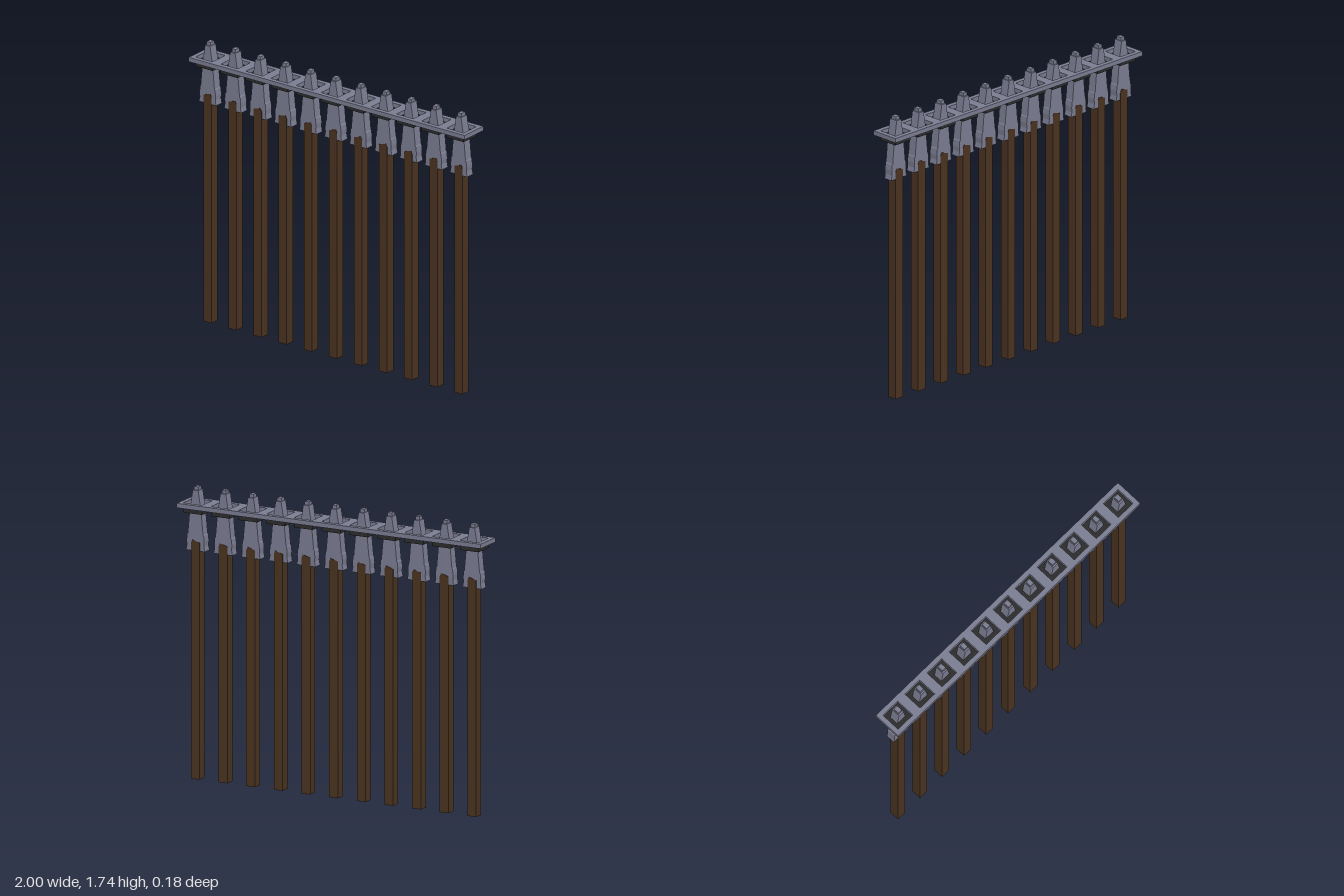
import * as THREE from 'three';

const steel = new THREE.MeshStandardMaterial({ color: 0x7b7d92 });
steel.name = 'steel';
const wood = new THREE.MeshStandardMaterial({ color: 0x4a3320 });
wood.name = 'wood';
const iron = new THREE.MeshStandardMaterial({ color: 0x2c2c2c });
iron.name = 'dark iron';

const COUNT = 11, SPACING = 0.182;
const spearX = (i) => (i - (COUNT - 1) / 2) * SPACING;

// Extrude a front outline symmetrically in z
function slab(points, depth) {
  const shape = new THREE.Shape(points.map(([x, y]) => new THREE.Vector2(x, y)));
  return new THREE.ExtrudeGeometry(shape, { depth, bevelEnabled: false }).translate(0, 0, -depth / 2);
}

function add(parent, name, geometry, material, y = 0) {
  const mesh = new THREE.Mesh(geometry, material);
  mesh.name = name;
  mesh.position.y = y;
  parent.add(mesh);
}

export function createModel() {
  const model = new THREE.Group();
  model.name = 'spearRack';

  // Head outline, right side from the barbed base to the shoulder of the tip
  const side = [[0.062, 1.36], [0.056, 1.39], [0.058, 1.42], [0.054, 1.455], [0.05, 1.46], [0.037, 1.6], [0.03, 1.645], [0.018, 1.72]];
  const headGeo = slab([...side, ...side.map(([x, y]) => [-x, y]).reverse()], 0.056);
  const tipGeo = new THREE.BoxGeometry(0.028, 0.022, 0.036);
  // Shaft with a slanted top end
  const shaftGeo = slab([[-0.029, 0], [0.029, 0], [0.029, 1.405], [0.02, 1.425], [-0.029, 1.41]], 0.06);
  const collarGeo = new THREE.BoxGeometry(0.124, 0.032, 0.122);

  for (let i = 0; i < COUNT; i++) {
    const spear = new THREE.Group();
    spear.name = 'spear' + (i + 1);
    spear.position.x = spearX(i);
    add(spear, 'shaft', shaftGeo, wood);
    add(spear, 'spearhead', headGeo, steel);
    add(spear, 'tip', tipGeo, steel, 1.729);
    add(spear, 'collar', collarGeo, iron, 1.604);
    model.add(spear);
  }

  // Long rail with a square opening around each spear
  const plan = new THREE.Shape([[-1, -0.09], [1, -0.09], [1, 0.09], [-1, 0.09]].map(([x, y]) => new THREE.Vector2(x, y)));
  const h = 0.061;
  for (let i = 0; i < COUNT; i++) {
    const x = spearX(i);
    plan.holes.push(new THREE.Path([[-h, -h], [-h, h], [h, h], [h, -h]].map(([a, b]) => new THREE.Vector2(x + a, b))));
  }
  const railGeo = new THREE.ExtrudeGeometry(plan, { depth: 0.027, bevelEnabled: false }).rotateX(-Math.PI / 2);
  add(model, 'rail', railGeo, steel, 1.619);

  return model;
}
